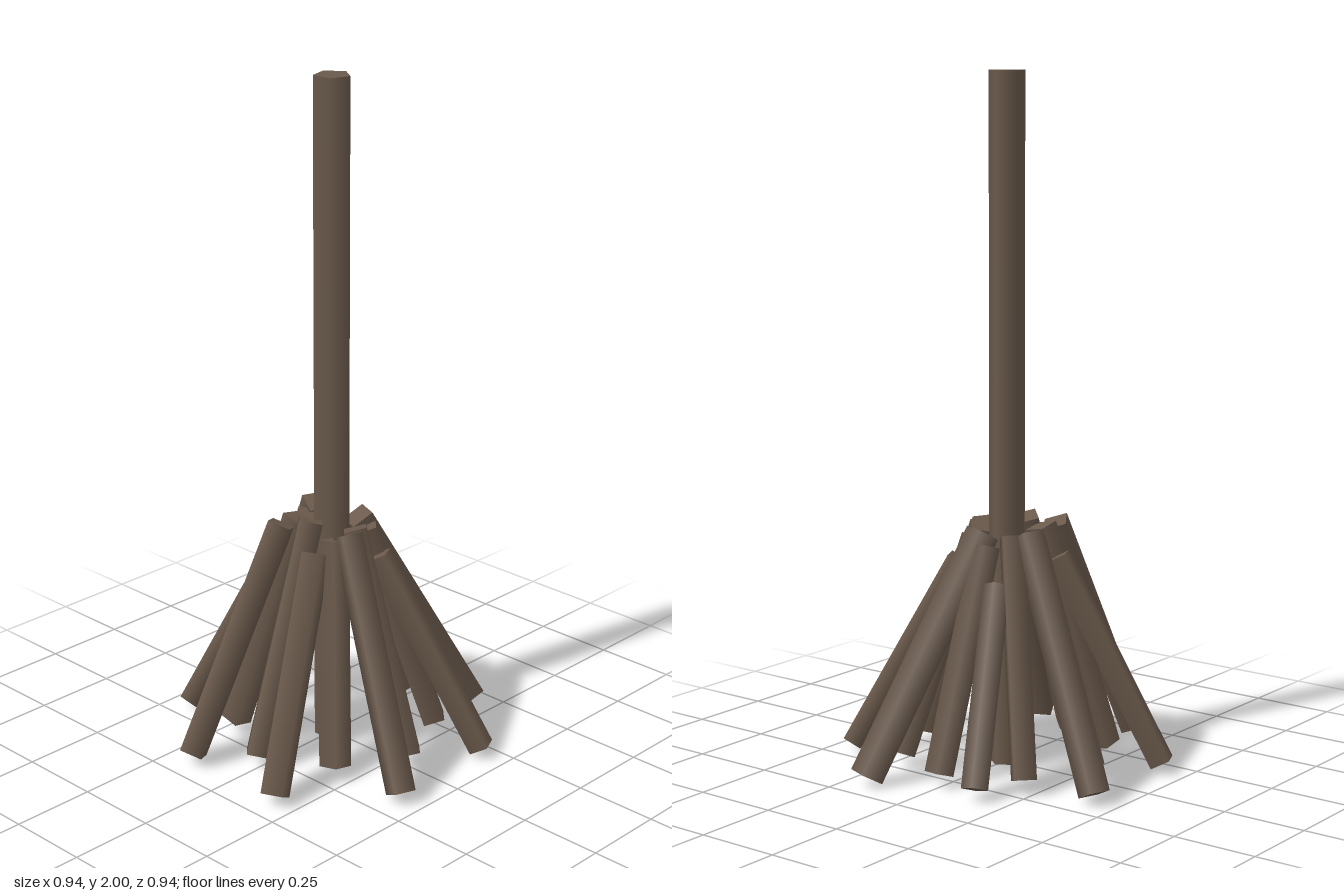
import * as THREE from 'three';

// Props: foot [x, y, z], head [x, y, z], radius, roll about the stick's axis (0 = ridge faces outward)
const FLAT = Math.PI / 4;
const innerProps = [
  [[0, 0.045, 0.31], [0, 0.69, 0.09], 0.046, 0],
  [[0.215, 0.04, 0.215], [0.065, 0.67, 0.07], 0.045, FLAT],
  [[0.315, 0.04, 0], [0.1, 0.66, 0], 0.042, 0.5],
  [[0.215, 0.04, -0.225], [0.065, 0.69, -0.07], 0.045, FLAT],
  [[0, 0.045, -0.31], [0, 0.68, -0.1], 0.041, 0],
  [[-0.2, 0.04, -0.21], [-0.07, 0.7, -0.07], 0.046, 0],
  [[-0.31, 0.045, 0], [-0.09, 0.715, 0], 0.048, 0],
  [[-0.2, 0.04, 0.205], [-0.07, 0.67, 0.07], 0.046, 0],
];
const outerProps = [
  [[0.195, 0.028, 0.42], [0.06, 0.6, 0.13], 0.041, FLAT],
  [[0.43, 0.028, 0.17], [0.075, 0.69, 0.03], 0.05, FLAT],
  [[0.35, 0.035, -0.155], [0.125, 0.56, -0.06], 0.039, 0],
  [[0.165, 0.028, -0.43], [0.05, 0.7, -0.115], 0.046, FLAT],
  [[-0.185, 0.028, -0.42], [-0.06, 0.62, -0.14], 0.042, FLAT],
  [[-0.425, 0.035, -0.155], [-0.14, 0.7, -0.07], 0.048, 0.1],
  [[-0.425, 0.028, 0.185], [-0.12, 0.635, 0.05], 0.046, FLAT],
  [[-0.165, 0.028, 0.43], [-0.05, 0.69, 0.11], 0.046, FLAT],
];

// Four-sided stick leaning from its foot to its head
function makeProp([foot, head, radius, roll], material) {
  const a = new THREE.Vector3(...foot), b = new THREE.Vector3(...head);
  const up = b.clone().sub(a);
  const geometry = new THREE.CylinderGeometry(radius, radius, up.length(), 4);
  geometry.rotateY(roll);
  up.normalize();
  const out = new THREE.Vector3(a.x, 0, a.z);
  out.addScaledVector(up, -out.dot(up)).normalize();
  const side = new THREE.Vector3().crossVectors(up, out);
  const mesh = new THREE.Mesh(geometry, material);
  mesh.quaternion.setFromRotationMatrix(new THREE.Matrix4().makeBasis(side, up, out));
  mesh.position.copy(a).add(b).multiplyScalar(0.5);
  return mesh;
}

export function createModel() {
  const model = new THREE.Group();
  const wood = new THREE.MeshStandardMaterial({ color: 0x6b5a4c });
  wood.name = 'dark wood';

  // Upright five-sided pole
  const poleGeometry = new THREE.CylinderGeometry(0.054, 0.054, 2, 5);
  poleGeometry.rotateY(Math.PI / 2);
  const pole = new THREE.Mesh(poleGeometry, wood);
  pole.name = 'pole';
  pole.position.y = 1;
  model.add(pole);

  // Two rings of sticks leaning on the pole
  for (const [name, props] of [['innerSticks', innerProps], ['outerSticks', outerProps]]) {
    const ring = new THREE.Group();
    ring.name = name;
    props.forEach((p, i) => {
      const stick = makeProp(p, wood);
      stick.name = `leaningStick${i + 1}`;
      ring.add(stick);
    });
    model.add(ring);
  }
  return model;
}
